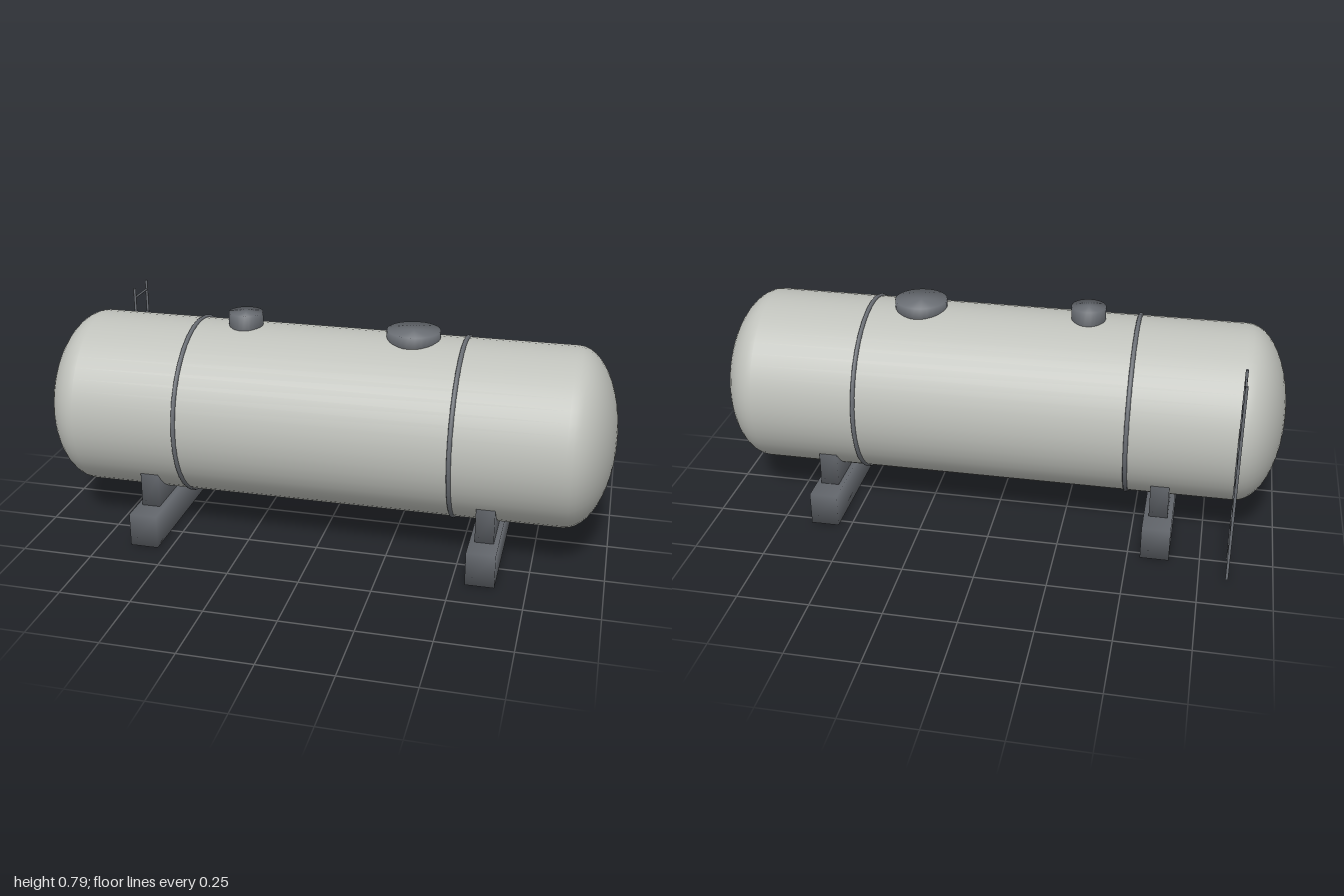
import * as THREE from 'three';
import { mergeVertices } from 'three/addons/utils/BufferGeometryUtils.js';

const AXIS_Y = 0.432, AXIS_Z = 0.053, RADIUS = 0.312;

export function createModel() {
  const model = new THREE.Group();
  model.name = 'storageTank';
  const paint = new THREE.MeshStandardMaterial({ name: 'tank grey', color: 0xbfc1bb });
  const steel = new THREE.MeshStandardMaterial({ name: 'dark steel', color: 0x6b6f75 });

  function add(name, geometry, material, x, y, z, parent = model) {
    const mesh = new THREE.Mesh(geometry, material);
    mesh.name = name;
    mesh.position.set(x, y, z);
    parent.add(mesh);
    return mesh;
  }

  // Weld shared corners so shading runs softly across edges
  function soften(geometry) {
    geometry.deleteAttribute('uv');
    geometry.deleteAttribute('normal');
    const welded = mergeVertices(geometry, 1e-4);
    welded.computeVertexNormals();
    return welded;
  }

  // Tank shell: straight barrel with elliptical ends
  const profile = [];
  const steps = 12;
  for (let i = 0; i <= steps; i++) {
    const a = (i / steps) * Math.PI / 2;
    profile.push(new THREE.Vector2(RADIUS * Math.sin(a), -0.845 - 0.155 * Math.cos(a)));
  }
  for (let i = steps; i >= 0; i--) profile.push(new THREE.Vector2(profile[i].x, -profile[i].y));
  const shell = new THREE.LatheGeometry(profile, 48);
  shell.rotateZ(-Math.PI / 2);
  add('tankShell', shell, paint, 0, AXIS_Y, AXIS_Z);

  // Fittings mirrored left and right
  for (const side of [-1, 1]) {
    const prefix = side > 0 ? 'left' : 'right';

    // Strap around the barrel
    const strap = new THREE.TorusGeometry(0.312, 0.008, 8, 32);
    strap.rotateY(Math.PI / 2);
    add(prefix + 'Strap', strap, steel, side * 0.473, AXIS_Y, AXIS_Z);

    // Saddle and its foot beam
    const support = new THREE.Group();
    support.name = prefix + 'Support';
    support.position.set(side * 0.595, 0, AXIS_Z);
    model.add(support);
    add('footBeam', soften(new THREE.BoxGeometry(0.1, 0.12, 0.663)), steel, 0, 0.06, 0, support);
    add('saddle', soften(new THREE.BoxGeometry(0.065, 0.135, 0.497)), steel, 0, 0.1775, 0, support);
  }

  // Filler neck and manhole on top
  function hatch(name, x, radius, top) {
    const bottom = 0.71;
    const geometry = soften(new THREE.CylinderGeometry(radius, radius, top - bottom, 28));
    add(name, geometry, steel, x, (top + bottom) / 2, AXIS_Z);
  }
  hatch('fillerNeck', -0.3, 0.06, 0.79);
  hatch('manhole', 0.295, 0.092, 0.77);

  // Ladder standing behind the right end
  const ladder = new THREE.Group();
  ladder.name = 'ladder';
  ladder.position.x = -0.845;
  model.add(ladder);
  for (const z of [-0.258, -0.377]) {
    add('ladderRail', new THREE.CylinderGeometry(0.005, 0.005, 0.728, 10), steel, 0, 0.382, z, ladder);
  }
  for (let i = 0; i < 8; i++) {
    const rung = new THREE.CylinderGeometry(0.004, 0.004, 0.119, 8);
    rung.rotateX(Math.PI / 2);
    add('ladderRung', rung, steel, 0, 0.083 + i * 0.0895, -0.3175, ladder);
  }

  return model;
}
